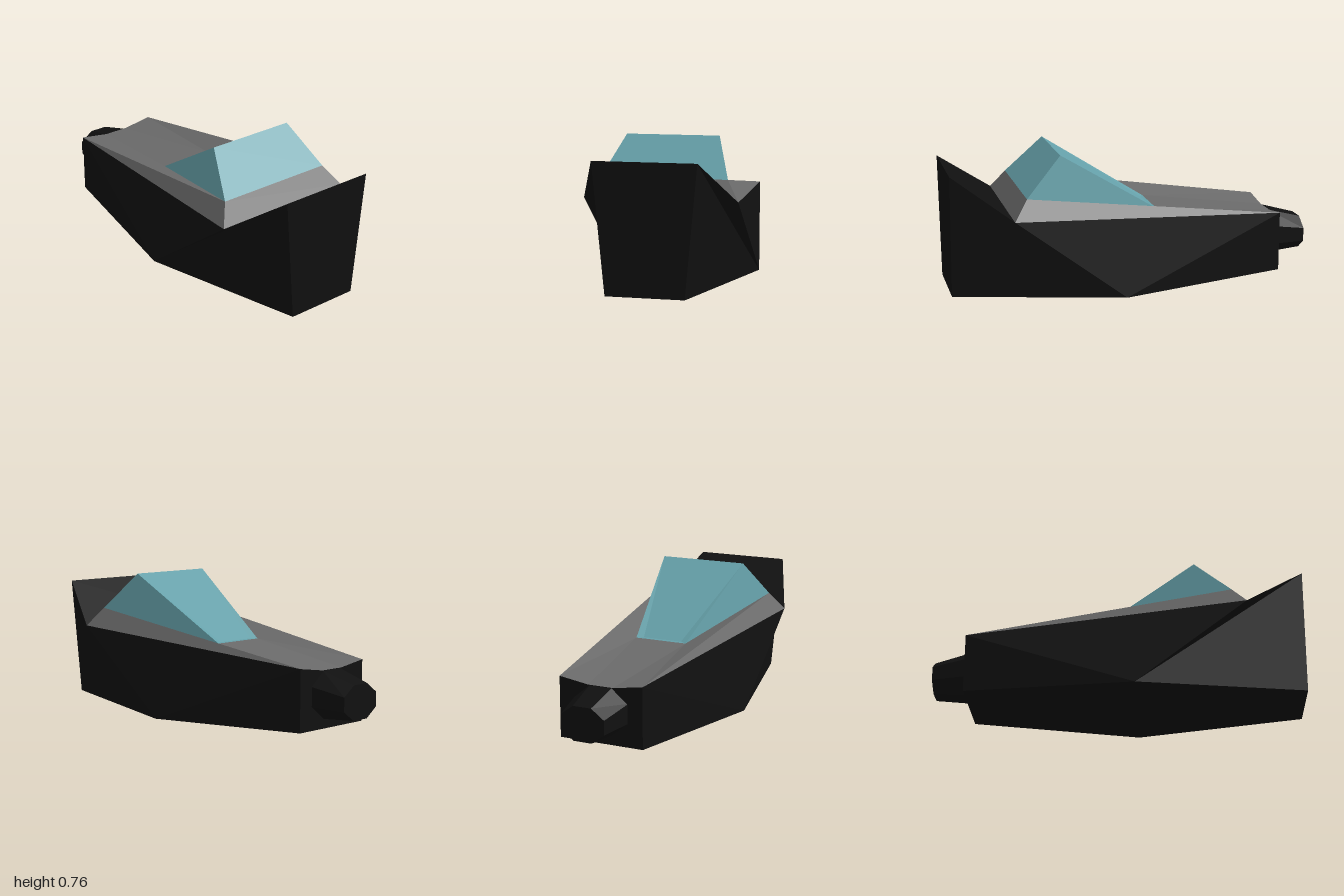
import * as THREE from 'three';

const material = (name, color) => {
  const m = new THREE.MeshStandardMaterial({ color, flatShading: true, side: THREE.DoubleSide });
  m.name = name;
  return m;
};

const mirror = ([x, y, z]) => [x, y, -z];

// Faceted shell, symmetric in z. "sides" are polygons on the +z side, copied to
// the other side; "strips" are edges that are bridged across to their mirror.
function shell(name, mat, sides, strips) {
  const pos = [];
  const fan = (pts) => {
    for (let i = 1; i < pts.length - 1; i++) pos.push(...pts[0], ...pts[i], ...pts[i + 1]);
  };
  for (const s of sides) {
    fan(s);
    const m = s.map(mirror);
    fan([m[0], ...m.slice(1).reverse()]);
  }
  for (const [p, q] of strips) fan([p, q, mirror(q), mirror(p)]);
  const g = new THREE.BufferGeometry();
  g.setAttribute('position', new THREE.Float32BufferAttribute(pos, 3));
  g.computeVertexNormals();
  const mesh = new THREE.Mesh(g, mat);
  mesh.name = name;
  return mesh;
}

export function createModel() {
  const group = new THREE.Group();
  group.name = 'cockpitPod';
  const black = material('hull black', 0x101010);
  const grey = material('deck grey', 0x6a6a6a);
  const glass = material('canopy teal', 0x65a0a9);

  // Corner points of the +z half
  const noseTop = [-0.81, 0.36, 0.235], noseLow = [-0.81, 0.035, 0.235];
  const keel = [0.1, 0.002, 0.398], shoulder = [0.69, 0.455, 0.398];
  const tailTop = [1, 0.68, 0.262], tailLow = [1, 0.02, 0.2];
  const groove = [-0.81, 0.335, 0.07], sill = [-0.13, 0.41, 0.148];
  const deckRear = [0.615, 0.556, 0.33];
  const glassLow = [-0.11, 0.412, 0.112], glassTop = [0.42, 0.757, 0.246];

  // Hull: sides, underside, tail and nose bulkhead
  group.add(shell('hull', black,
    [[noseTop, noseLow, keel, shoulder], [keel, tailLow, tailTop, shoulder], [noseLow, noseTop, groove]],
    [[shoulder, tailTop], [tailTop, tailLow], [tailLow, keel], [keel, noseLow], [noseLow, groove]]));

  // Deck: outer bevels, grooved front and rear lip
  group.add(shell('deck', grey,
    [[noseTop, shoulder, deckRear], [noseTop, deckRear, sill, groove]],
    [[groove, sill], [deckRear, shoulder]]));

  // Canopy
  group.add(shell('canopy', glass,
    [[sill, deckRear, glassTop, glassLow]],
    [[sill, glassLow], [glassLow, glassTop], [glassTop, deckRear]]));

  // Tapered eight-sided nose stub, oval in section
  const stub = new THREE.CylinderGeometry(1, 1, 1, 8);
  stub.rotateY(Math.PI / 8).rotateZ(Math.PI / 2);
  const p = stub.attributes.position;
  const k = 1 / Math.cos(Math.PI / 8);
  for (let i = 0; i < p.count; i++) {
    const tip = p.getX(i) < 0;
    const ry = (tip ? 0.09 : 0.125) * k, rz = (tip ? 0.122 : 0.152) * k;
    p.setXYZ(i, tip ? -1 : -0.8, (tip ? 0.19 : 0.21) + p.getY(i) * ry, p.getZ(i) * rz);
  }
  stub.computeVertexNormals();
  const nose = new THREE.Mesh(stub, black);
  nose.name = 'noseStub';
  group.add(nose);

  return group;
}
